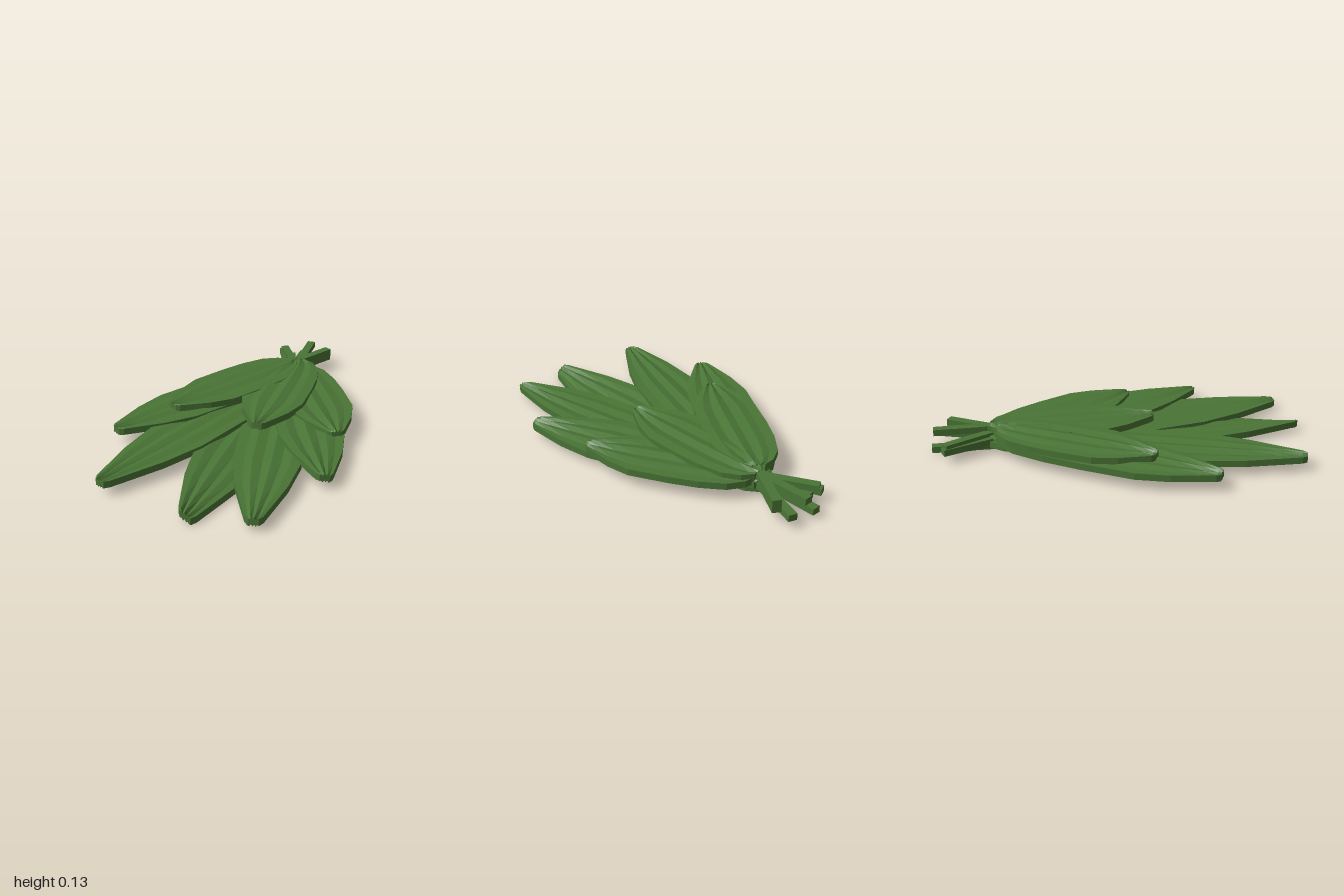
import * as THREE from 'three';

const leafMaterial = new THREE.MeshStandardMaterial({ color: 0x4a7536, flatShading: true });

// Half-width of a blade along its length: [fraction, half-width]
const OUTLINE = [
  [0, 0.035], [0.04, 0.09], [0.13, 0.14], [0.28, 0.165], [0.45, 0.172],
  [0.68, 0.168], [0.82, 0.125], [0.92, 0.075], [0.985, 0.042], [1, 0.025],
];
// Shallow folds running lengthwise: [fraction across, height]
const FOLDS = [
  [-1, 0], [-0.68, 0.004], [-0.42, -0.005], [-0.12, 0.007],
  [0.15, -0.004], [0.42, 0.005], [0.7, -0.003], [1, -0.001],
];
const STEM_LENGTH = 0.3;

// Folded slab lofted along +z, with its top near y = 0
function bladeGeometry(length, thickness, roll, flip) {
  const n = FOLDS.length;
  const ring = 2 * n;
  const positions = [];
  const indices = [];
  for (const [t, halfWidth] of OUTLINE) {
    for (let j = 0; j < ring; j++) {
      const isTop = j < n;
      const k = isTop ? n - 1 - j : j - n;
      const across = FOLDS[k][0];
      const fold = FOLDS[flip ? n - 1 - k : k][1];
      const y = fold + roll * across * 0.5 - (isTop ? 0 : thickness);
      positions.push(across * halfWidth, y, t * length);
    }
  }
  const quad = (a, b, c, d) => indices.push(a, b, c, a, c, d);
  for (let i = 0; i < OUTLINE.length - 1; i++) {
    for (let j = 0; j < ring; j++) {
      const a = i * ring + j;
      const b = i * ring + (j + 1) % ring;
      quad(a, b, b + ring, a + ring);
    }
  }
  // Blunt base and tip
  const last = (OUTLINE.length - 1) * ring;
  for (let j = 0; j < n - 1; j++) {
    const [p, q, r, s] = [j, j + 1, ring - 2 - j, ring - 1 - j];
    quad(s, r, q, p);
    quad(last + p, last + q, last + r, last + s);
  }
  const geometry = new THREE.BufferGeometry();
  geometry.setAttribute('position', new THREE.Float32BufferAttribute(positions, 3));
  geometry.setIndex(indices);
  geometry.computeVertexNormals();
  return geometry;
}

// One leaf: a blade and its square stalk, laid from stalk end to tip
function makeLeaf({ name, stem, tip, top, roll = 0, flip = false, thickness = 0.035 }) {
  const dx = tip[0] - stem[0];
  const dz = tip[1] - stem[1];
  const leaf = new THREE.Group();
  leaf.name = name;

  const length = Math.hypot(dx, dz) - STEM_LENGTH;
  const blade = new THREE.Mesh(bladeGeometry(length, thickness, roll, flip), leafMaterial);
  blade.name = 'blade';
  blade.position.z = STEM_LENGTH;

  const stalkLength = STEM_LENGTH + 0.12;
  const stalk = new THREE.Mesh(new THREE.BoxGeometry(0.045, 0.034, stalkLength), leafMaterial);
  stalk.name = 'stalk';
  stalk.position.set(0, -0.02, stalkLength / 2);

  leaf.add(blade, stalk);
  leaf.position.set(stem[0], top, stem[1]);
  leaf.rotation.y = Math.atan2(dx, dz);
  return leaf;
}

export function createModel() {
  const bundle = new THREE.Group();
  bundle.name = 'leafBundle';
  const leaves = [
    // Long lower leaves
    { name: 'lowerMiddleLeaf', stem: [0.035, -0.99], tip: [0.035, 1], top: 0.048, roll: -0.03 },
    { name: 'lowerLeftLeaf', stem: [-0.02, -0.91], tip: [0.335, 0.96], top: 0.062, flip: true },
    { name: 'lowerRightLeaf', stem: [0.19, -0.98], tip: [-0.43, 0.9], top: 0.078 },
    // Outer side leaves
    { name: 'outerLeftLeaf', stem: [-0.08, -0.93], tip: [0.545, 0.525], top: 0.077, roll: -0.008 },
    { name: 'outerRightLeaf', stem: [0.21, -0.9], tip: [-0.58, 0.415], top: 0.091, flip: true },
    // Short upper leaves
    { name: 'upperLeftLeaf', stem: [-0.07, -0.92], tip: [0.505, 0.12], top: 0.097 },
    { name: 'upperRightLeaf', stem: [0.21, -0.9], tip: [-0.385, 0.13], top: 0.124, flip: true },
    { name: 'upperMiddleLeaf', stem: [0.085, -0.98], tip: [0.105, 0.2], top: 0.122, flip: true },
  ];
  for (const leaf of leaves) bundle.add(makeLeaf(leaf));
  return bundle;
}
